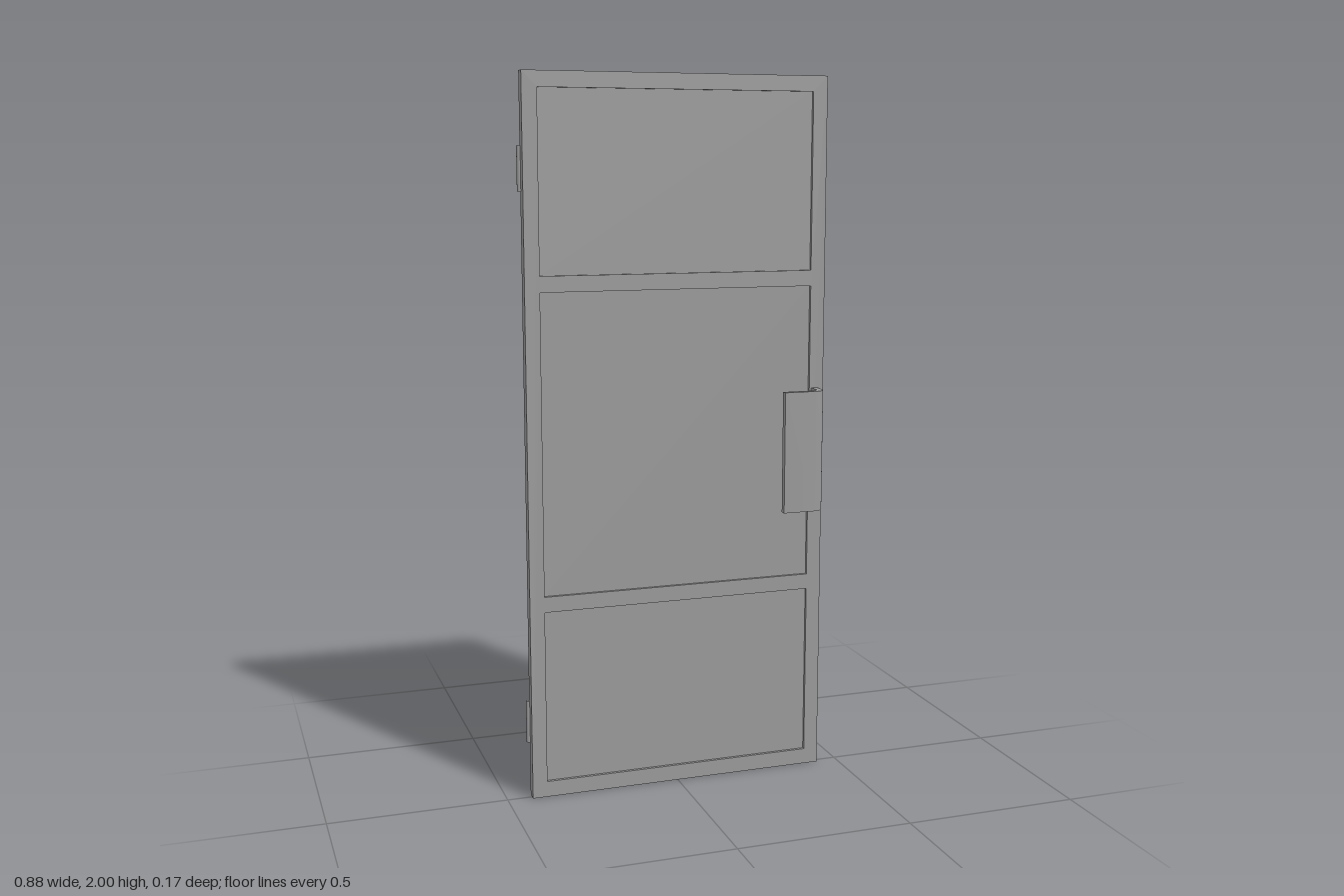
import * as THREE from 'three';
import { toCreasedNormals } from 'three/addons/utils/BufferGeometryUtils.js';

const material = new THREE.MeshStandardMaterial({ color: 0x9a9a9a });
const LEFT = -0.43, RIGHT = 0.438, HEIGHT = 2, BACK = -0.016, FRONT = 0.013;
const MID = (BACK + FRONT) / 2;
const PANEL_LEFT = -0.388, PANEL_RIGHT = 0.396;
const PANELS = [[0.045, 0.538], [0.582, 1.421], [1.465, 1.957]];

function addMesh(parent, name, geometry, x = 0, y = 0, z = 0) {
  const mesh = new THREE.Mesh(geometry, material);
  mesh.name = name;
  mesh.position.set(x, y, z);
  parent.add(mesh);
}

function rectangle(path, x0, y0, x1, y1) {
  path.moveTo(x0, y0);
  path.lineTo(x1, y0);
  path.lineTo(x1, y1);
  path.lineTo(x0, y1);
  path.closePath();
  return path;
}

// J-shaped plate: leaves the door, bends and runs parallel to it; side is +1 or -1
function handleGeometry(side) {
  const outerX = 0.42, tipX = 0.294, t = 0.018, reach = 0.083, r = 0.034;
  const s = new THREE.Shape();
  s.moveTo(outerX, 0);
  s.lineTo(outerX, side * (reach - r));
  s.absarc(outerX - r, side * (reach - r), r, 0, side * Math.PI / 2, side < 0);
  s.lineTo(tipX, side * reach);
  s.lineTo(tipX, side * (reach - t));
  s.lineTo(outerX - r, side * (reach - t));
  s.absarc(outerX - r, side * (reach - r), r - t, side * Math.PI / 2, 0, side > 0);
  s.lineTo(outerX - t, 0);
  s.closePath();
  const g = new THREE.ExtrudeGeometry(s, { depth: 0.345, bevelEnabled: false, curveSegments: 4 });
  g.rotateX(-Math.PI / 2);
  return toCreasedNormals(g, 0.7);
}

export function createModel() {
  const door = new THREE.Group();
  door.name = 'door';

  // Frame with three openings
  const outline = rectangle(new THREE.Shape(), LEFT, 0, RIGHT, HEIGHT);
  for (const [y0, y1] of PANELS) {
    outline.holes.push(rectangle(new THREE.Path(), PANEL_LEFT, y0, PANEL_RIGHT, y1));
  }
  const frame = new THREE.ExtrudeGeometry(outline, { depth: FRONT - BACK, bevelEnabled: false });
  addMesh(door, 'frame', frame, 0, 0, BACK);

  // Recessed panels, slightly larger than the openings so the edges sit in the frame
  PANELS.forEach(([y0, y1], i) => {
    const g = new THREE.BoxGeometry(PANEL_RIGHT - PANEL_LEFT + 0.01, y1 - y0 + 0.01, 0.012);
    addMesh(door, ['lowerPanel', 'middlePanel', 'upperPanel'][i], g,
      (PANEL_LEFT + PANEL_RIGHT) / 2, (y0 + y1) / 2, MID);
  });

  // Handles on both faces
  addMesh(door, 'backHandle', handleGeometry(1), 0, 0.785, 0);
  addMesh(door, 'frontHandle', handleGeometry(-1), 0, 0.785, 0);

  // Hinge barrels on the back edge
  for (const [name, y] of [['lowerHinge', 0.218], ['upperHinge', 1.747]]) {
    addMesh(door, name, new THREE.CylinderGeometry(0.007, 0.007, 0.12, 16), -0.432, y, -0.017);
  }

  return door;
}
